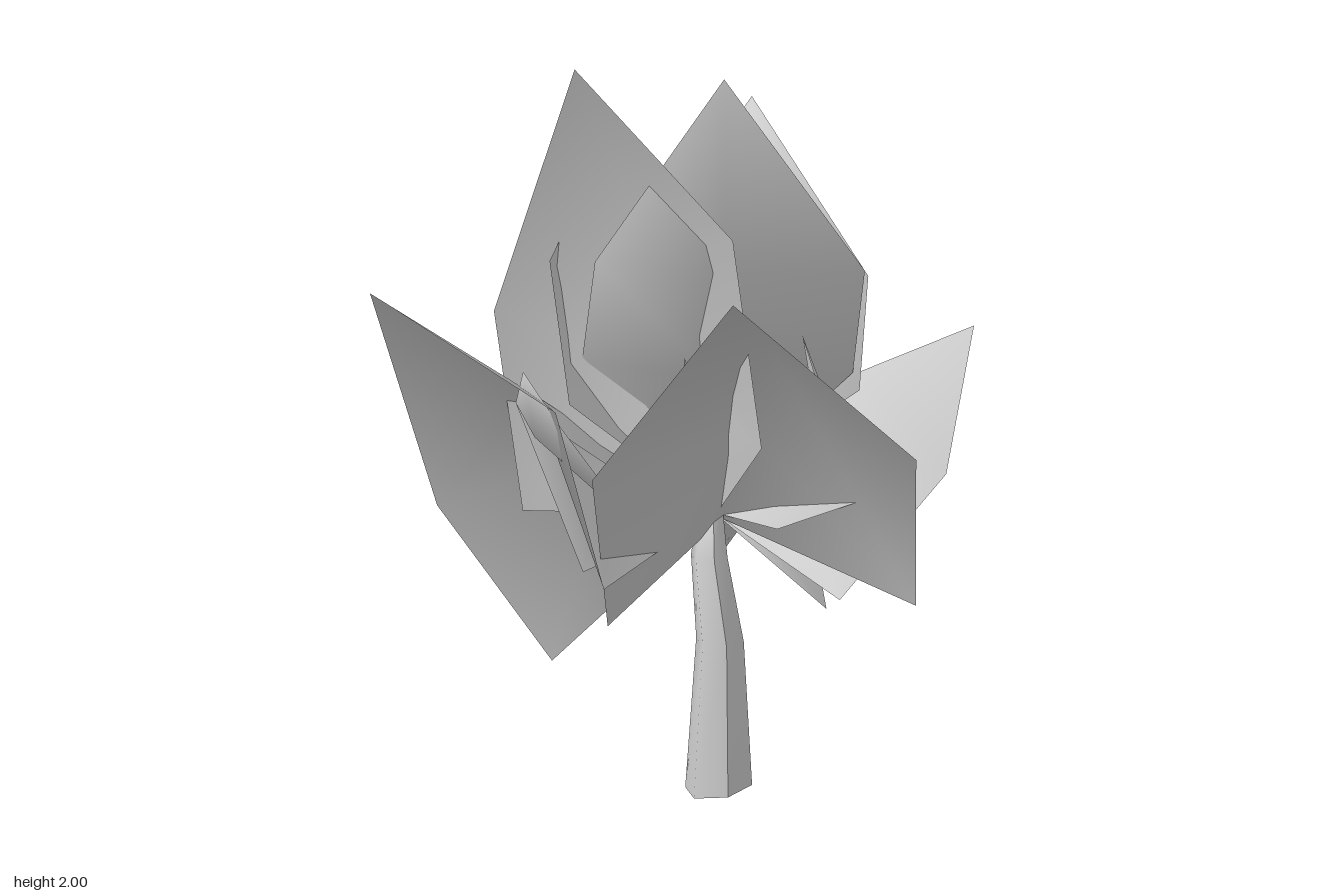
import * as THREE from 'three';

const material = new THREE.MeshStandardMaterial({ color: 0xcccccc, side: THREE.DoubleSide });

// A cupped blade: tip, two cross-sections (left, rib, right) and the stalk end.
function leaf(name, tip, l1, rib, r1, l2, r2, base = [0.09, 0.78, -0.06]) {
  const rib2 = rib.map((v, i) => base[i] + (v - base[i]) * 0.55);
  const points = [tip, l1, rib, r1, l2, rib2, r2, base];
  const g = new THREE.BufferGeometry();
  g.setAttribute('position', new THREE.Float32BufferAttribute(points.flat(), 3));
  g.setIndex([
    0, 1, 2, 0, 2, 3,
    1, 4, 5, 1, 5, 2, 2, 5, 6, 2, 6, 3,
    4, 7, 5, 5, 7, 6,
  ]);
  g.computeVertexNormals();
  const mesh = new THREE.Mesh(g, material);
  mesh.name = name;
  return mesh;
}

// Six-sided stem whose rings follow a curve and narrow upward.
function stem() {
  // x, y, z, radius of each ring
  const rings = [
    [0.14, 0.02, 0.07, 0.097],
    [0.138, 0.45, 0.055, 0.068],
    [0.1, 0.68, 0.03, 0.052],
    [0.08, 0.82, -0.05, 0.035],
    [0.07, 0.95, -0.15, 0.008],
  ];
  const g = new THREE.CylinderGeometry(1, 1, 1, 6, rings.length - 1, false, Math.PI / 6);
  const p = g.attributes.position;
  for (let i = 0; i < p.count; i++) {
    const [x, y, z, r] = rings[Math.round((p.getY(i) + 0.5) * (rings.length - 1))];
    const tilt = y < 0.1 ? p.getX(i) * 0.015 : 0;
    p.setXYZ(i, x + p.getX(i) * r, y + tilt, z + p.getZ(i) * r);
  }
  g.computeVertexNormals();
  const mesh = new THREE.Mesh(g, material);
  mesh.name = 'stem';
  return mesh;
}

export function createModel() {
  const group = new THREE.Group();
  group.name = 'plant';
  group.add(
    stem(),
    // Drooping outer leaves
    leaf('frontRightLeaf', [-0.73, 1.43, 0.37], [-0.67, 0.79, 0.11], [-0.36, 1.13, 0.14],
      [-0.15, 1.19, 0.575], [-0.35, 0.345, 0.07], [-0.03, 0.745, 0.575]),
    leaf('frontLeftLeaf', [0.37, 1.53, 0.87], [-0.04, 1.04, 0.63], [0.32, 1.33, 0.27],
      [0.73, 1.11, 0.49], [-0.09, 0.57, 0.36], [0.7, 0.65, 0.21], [0.12, 0.77, -0.04]),
    leaf('backLeftLeaf', [0.7, 1.2, -0.86], [0.715, 0.9, -0.2], [0.42, 1.13, -0.38],
      [0.22, 0.86, -0.76], [0.48, 0.61, 0.1], [-0.02, 0.49, -0.43]),
    leaf('backRightLeaf', [-0.36, 1.17, -0.87], [0.19, 0.85, -0.68], [-0.09, 1.07, -0.38],
      [-0.48, 0.86, -0.39], [0.36, 0.43, -0.34], [-0.42, 0.46, -0.07]),
    // Tall upright leaves
    leaf('tallRightLeaf', [-0.24, 2.0, 0.13], [-0.49, 1.35, 0.1], [-0.08, 1.5, -0.06],
      [0.24, 1.6, 0.35], [-0.37, 0.83, 0.23], [0.33, 1.09, 0.4], [0.1, 0.78, -0.04]),
    leaf('tallLeftLeaf', [0.16, 1.98, 0.13], [-0.19, 1.5, 0.13], [0.19, 1.5, 0.25],
      [0.48, 1.46, -0.17], [-0.26, 1.21, 0.04], [0.43, 1.15, -0.3], [0.09, 0.82, -0.08]),
    leaf('tallBackLeaf', [0.04, 1.89, -0.68], [0.45, 1.41, -0.4], [0.05, 1.55, -0.25],
      [-0.28, 1.4, -0.54], [0.45, 1.1, -0.3], [-0.3, 1.0, -0.35], [0.08, 0.84, -0.09]),
    // Small inner leaves
    leaf('innerRightLeaf', [-0.35, 1.22, 0.26], [-0.38, 1.13, 0.24], [-0.27, 1.08, 0.4],
      [-0.16, 1.13, 0.5], [-0.16, 0.71, 0.35], [-0.02, 0.85, 0.35]),
    leaf('innerBackRightLeaf', [-0.33, 1.73, -0.35], [-0.43, 1.35, -0.43], [-0.36, 1.4, -0.2],
      [-0.31, 1.5, 0.15], [-0.38, 1.05, -0.3], [-0.25, 1.12, 0.18]),
    leaf('innerBackLeaf', [0.08, 1.7, -0.49], [0.14, 1.3, -0.38], [0.16, 1.4, -0.25],
      [0.22, 1.56, -0.16], [0.14, 1.02, -0.25], [0.21, 1.25, 0.04], [0.1, 0.82, -0.08]),
    leaf('innerFrontLeaf', [0.13, 1.31, 0.4], [0.09, 1.08, 0.28], [0.12, 1.08, 0.25],
      [0.15, 1.1, 0.22], [0.08, 0.9, 0.12], [0.13, 0.92, 0.08]),
    leaf('innerLeftLeaf', [0.35, 1.31, 0.02], [0.54, 0.92, 0.23], [0.42, 1.03, 0.09],
      [0.51, 0.93, 0.04], [0.31, 0.8, 0.12], [0.3, 0.85, -0.02]),
    leaf('innerSpikeLeaf', [0.32, 1.08, -0.11], [0.23, 1.0, -0.05], [0.22, 0.99, -0.09],
      [0.21, 0.97, -0.13], [0.16, 0.9, -0.04], [0.14, 0.88, -0.12]),
  );
  return group;
}
